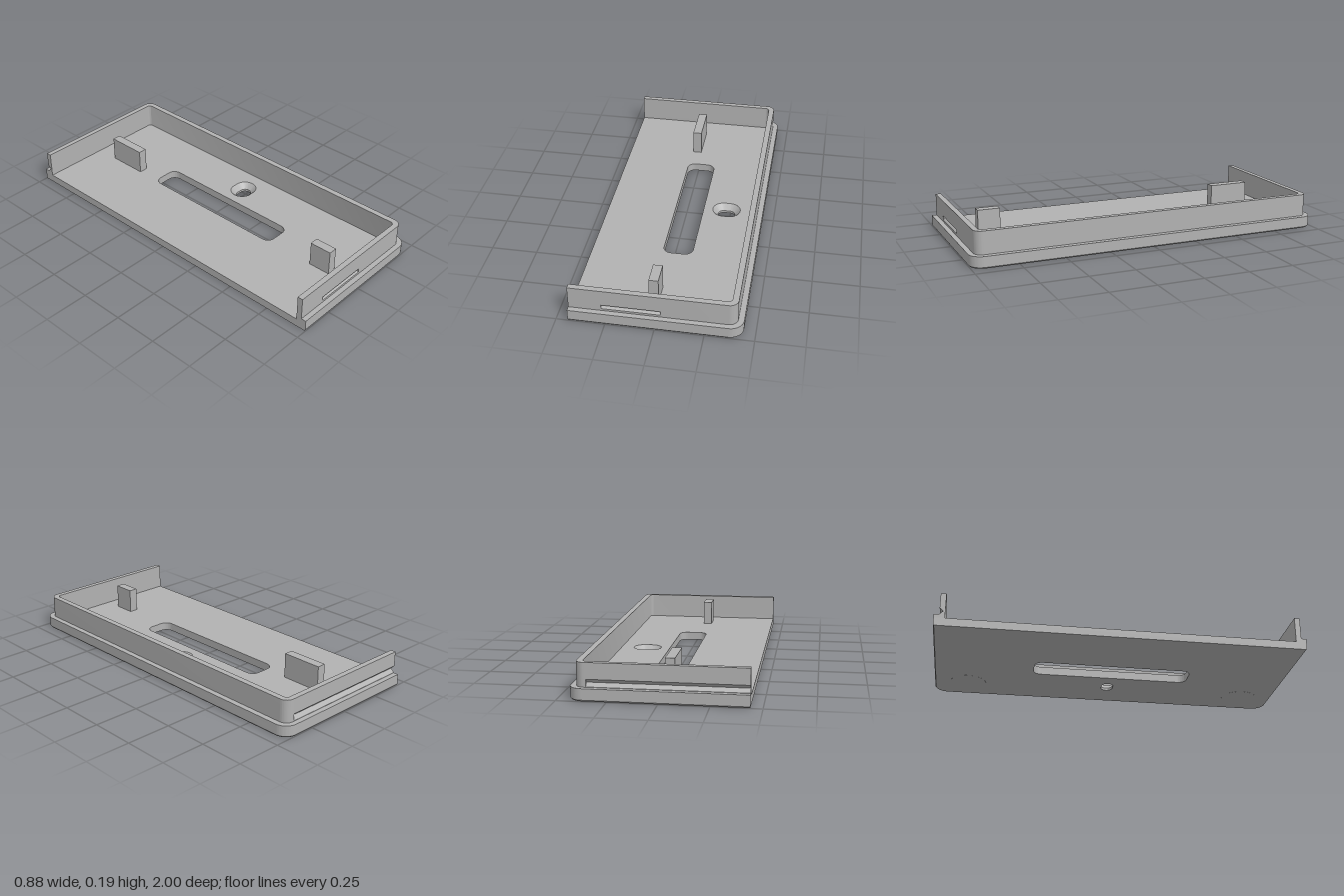
import * as THREE from 'three';
import { toCreasedNormals } from 'three/addons/utils/BufferGeometryUtils.js';

const LEFT = -0.44, FLOOR = 0.045, LEDGE = 0.064, TOP = 0.187;
const WALL_OUT = 0.972, WALL_IN = 0.942;

// Plan shapes are drawn in (x, -z) and extruded upwards.
function extrudeUp(shape, y0, y1) {
  const g = new THREE.ExtrudeGeometry(shape, { depth: y1 - y0, bevelEnabled: false, curveSegments: 10 });
  g.rotateX(-Math.PI / 2);
  g.translate(0, y0, 0);
  return g;
}

// Profiles are drawn in (-z, y) and extruded along x.
function extrudeAlongX(points, x0, x1) {
  const shape = new THREE.Shape(points.map(([z, y]) => new THREE.Vector2(-z, y)));
  const g = new THREE.ExtrudeGeometry(shape, { depth: x1 - x0, bevelEnabled: false });
  g.rotateY(Math.PI / 2);
  g.translate(x0, 0, 0);
  return g;
}

// Edge running from the front round the closed long side to the back
function traceEdge(path, xFront, xBack, xSide, zEnd, r) {
  path.moveTo(xFront, -zEnd);
  path.lineTo(xSide - r, -zEnd);
  path.absarc(xSide - r, -zEnd + r, r, -Math.PI / 2, 0, false);
  path.absarc(xSide - r, zEnd - r, r, 0, Math.PI / 2, false);
  path.lineTo(xBack, zEnd);
}

// U-shaped band between an outer and an inner edge
function bandShape(xFront, xBack, xSide, zEnd, r) {
  const s = new THREE.Shape();
  traceEdge(s, xFront, xBack, xSide, zEnd, r);
  const ri = 0.02, xi = 0.378;
  s.lineTo(xBack, WALL_IN);
  s.lineTo(xi - ri, WALL_IN);
  s.absarc(xi - ri, WALL_IN - ri, ri, Math.PI / 2, 0, true);
  s.absarc(xi - ri, -WALL_IN + ri, ri, 0, -Math.PI / 2, true);
  s.lineTo(xFront, -WALL_IN);
  s.closePath();
  return s;
}

// Rounded rectangle, also used for the oval hole
function roundRect(path, x0, x1, z0, z1, r) {
  path.absarc(x1 - r, z1 - r, r, 0, Math.PI / 2, false);
  path.absarc(x0 + r, z1 - r, r, Math.PI / 2, Math.PI, false);
  path.absarc(x0 + r, z0 + r, r, Math.PI, Math.PI * 1.5, false);
  path.absarc(x1 - r, z0 + r, r, Math.PI * 1.5, Math.PI * 2, false);
  path.closePath();
  return path;
}

function plateShape() {
  const s = new THREE.Shape();
  traceEdge(s, LEFT, LEFT, 0.44, 1, 0.07);
  s.closePath();
  s.holes.push(roundRect(new THREE.Path(), -0.06, 0.1, -0.44, 0.445, 0.045));
  s.holes.push(oval(0.064));
  return s;
}

// Oval screw hole outline of a given end radius
function oval(r) {
  const p = new THREE.Path(), cx = 0.23, half = 0.015;
  p.absarc(cx + half, 0, r, -Math.PI / 2, Math.PI / 2, false);
  p.absarc(cx - half, 0, r, Math.PI / 2, Math.PI * 1.5, false);
  p.closePath();
  return p;
}

// Closed rings of [radius, height] joined into a funnel
function funnel(rings) {
  const pos = [], idx = [];
  let n = 0;
  for (const [r, y] of rings) {
    const pts = oval(r).getPoints(16);
    n = pts.length;
    for (const p of pts) pos.push(p.x, y, -p.y);
  }
  for (let k = 0; k < rings.length - 1; k++) {
    for (let i = 0; i < n - 1; i++) {
      const a = k * n + i, b = a + 1, c = a + n, d = b + n;
      idx.push(a, b, c, b, d, c);
    }
  }
  const g = new THREE.BufferGeometry();
  g.setAttribute('position', new THREE.Float32BufferAttribute(pos, 3));
  g.setIndex(idx);
  return g.toNonIndexed();
}

export function createModel() {
  const group = new THREE.Group();
  const grey = new THREE.MeshStandardMaterial({ color: 0xb2b2b2, side: THREE.DoubleSide });
  grey.name = 'grey plastic';

  function add(name, geometry) {
    geometry.computeVertexNormals();
    const mesh = new THREE.Mesh(toCreasedNormals(geometry, 0.5), grey);
    mesh.name = name;
    group.add(mesh);
  }

  // Floor, with a small chamfer under its three closed sides
  const chamfer = 0.007;
  const foot = extrudeUp(plateShape(), 0, chamfer);
  const p = foot.attributes.position;
  for (let i = 0; i < p.count; i++) {
    if (p.getY(i) > chamfer / 2) continue;
    if (p.getX(i) > 0.35) p.setX(i, p.getX(i) - 0.005);
    if (Math.abs(p.getZ(i)) > 0.9) p.setZ(i, p.getZ(i) * 0.995);
  }
  add('chamferedUnderside', foot);
  add('floor', extrudeUp(plateShape(), chamfer, FLOOR));
  add('countersunkHole', funnel([[0.064, FLOOR], [0.033, 0.014], [0.033, 0], [0.064, 0]]));

  // Ledge and the wall that rises from it
  const slotStart = -0.272, slotEnd = 0.03, grooveEnd = 0.355;
  add('ledge', extrudeUp(bandShape(LEFT, LEFT, 0.44, 1, 0.07), FLOOR, LEDGE));
  add('wall', extrudeUp(bandShape(slotEnd, grooveEnd, 0.41, WALL_OUT, 0.045), LEDGE, TOP));

  // Wall section with a V-shaped notch cut in its outer face
  const notched = (side, yLow, yHigh, depth) => [
    [side * WALL_IN, LEDGE], [side * WALL_OUT, LEDGE], [side * WALL_OUT, yLow],
    [side * (WALL_OUT - depth), (yLow + yHigh) / 2],
    [side * WALL_OUT, yHigh], [side * WALL_OUT, TOP], [side * WALL_IN, TOP],
  ];
  const plain = [[WALL_IN, LEDGE], [WALL_OUT, LEDGE], [WALL_OUT, TOP], [WALL_IN, TOP]];
  add('frontWallEnd', extrudeAlongX(plain, LEFT, slotStart));
  add('frontWallNotch', extrudeAlongX(notched(1, 0.076, 0.098, 0.012), slotStart, slotEnd));
  add('backWallGroove', extrudeAlongX(notched(-1, 0.066, 0.104, 0.02), LEFT, grooveEnd));

  // Two upright stops on the floor
  for (const [name, z0, z1] of [['backStop', -0.81, -0.58], ['frontStop', 0.72, 0.845]]) {
    const g = new THREE.BoxGeometry(0.05, 0.183 - FLOOR, z1 - z0);
    g.translate(-0.03, (0.183 + FLOOR) / 2, (z0 + z1) / 2);
    add(name, g);
  }

  // Round plugs flush with the underside
  for (const side of [-1, 1]) {
    const g = new THREE.CylinderGeometry(0.103, 0.103, 0.004, 40);
    g.translate(0.28, 0.0015, side * 0.81);
    add(side < 0 ? 'backPlug' : 'frontPlug', g);
  }
  return group;
}
